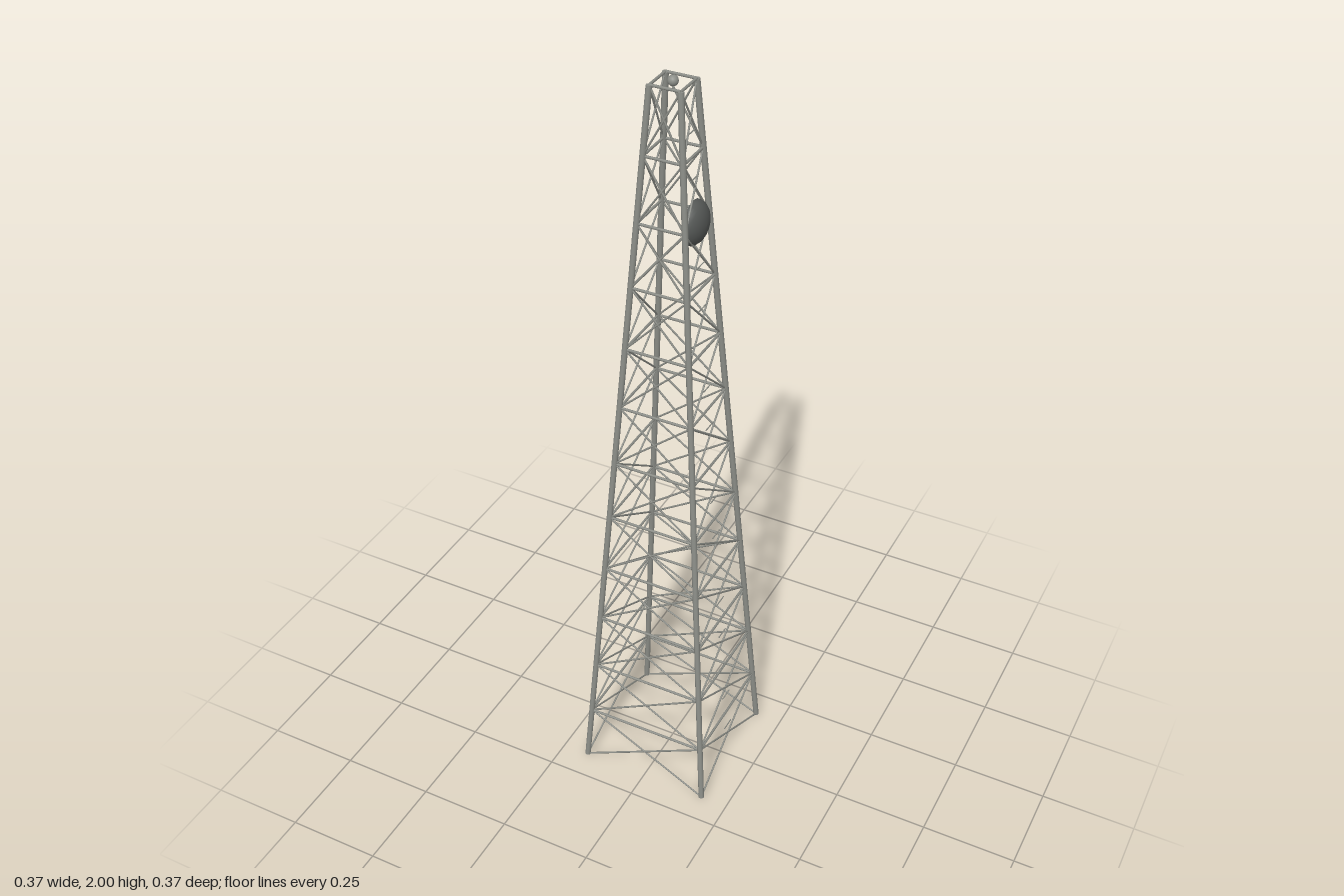
import * as THREE from 'three';

const LEVELS = 12;
const BASE_Y = 0.003, TOP_Y = 1.985;
const BASE_HALF = 0.176, TOP_HALF = 0.038;

// Half width of the tapering frame at a given height
const halfAt = (y) => THREE.MathUtils.mapLinear(y, BASE_Y, TOP_Y, BASE_HALF, TOP_HALF);

// Round bar between two points
function bar(name, a, b, radius, material, sides = 6) {
  const dir = b.clone().sub(a);
  const mesh = new THREE.Mesh(new THREE.CylinderGeometry(radius, radius, dir.length(), sides), material);
  mesh.position.copy(a).add(b).multiplyScalar(0.5);
  mesh.quaternion.setFromUnitVectors(new THREE.Vector3(0, 1, 0), dir.normalize());
  mesh.name = name;
  return mesh;
}

export function createModel() {
  const tower = new THREE.Group();
  tower.name = 'latticeTower';
  const steel = new THREE.MeshStandardMaterial({ color: 0x8c8e88, name: 'steelGrey' });
  const dark = new THREE.MeshStandardMaterial({ color: 0x555856, name: 'darkGrey', side: THREE.DoubleSide });

  // Four identical sides: one leg, level bars and crossed braces each
  for (let s = 0; s < 4; s++) {
    const side = new THREE.Group();
    side.name = 'towerSide' + s;
    side.rotation.y = s * Math.PI / 2;
    const corner = (sign, y) => new THREE.Vector3(sign * halfAt(y), y, halfAt(y));
    side.add(bar('leg', corner(1, BASE_Y), corner(1, TOP_Y), 0.0075, steel, 10));
    for (let i = 0; i < LEVELS; i++) {
      const y0 = THREE.MathUtils.lerp(BASE_Y, TOP_Y, i / LEVELS);
      const y1 = THREE.MathUtils.lerp(BASE_Y, TOP_Y, (i + 1) / LEVELS);
      side.add(bar('levelBar', corner(-1, y1), corner(1, y1), 0.0035, steel));
      side.add(bar('crossBrace', corner(-1, y0), corner(1, y1), 0.0025, steel));
      side.add(bar('crossBrace', corner(1, y0), corner(-1, y1), 0.0025, steel));
    }
    tower.add(side);
  }

  // Climbing rungs up the middle of the left side
  for (let i = 0; i < 17; i++) {
    const y = 0.117 + i * 0.11, x = halfAt(y);
    tower.add(bar('rung', new THREE.Vector3(x, y, -0.02), new THREE.Vector3(x, y, 0.02), 0.0015, steel));
  }

  // Shallow dish bulging outward from the left side
  const profile = [];
  for (let i = 0; i <= 8; i++) {
    const a = (i / 8) * Math.PI / 2;
    profile.push(new THREE.Vector2(0.055 * Math.cos(a), 0.035 * Math.sin(a)));
  }
  const dish = new THREE.Mesh(new THREE.LatheGeometry(profile, 16), dark);
  dish.name = 'dish';
  dish.rotation.z = -Math.PI / 2;
  dish.position.set(0.05, 1.656, 0);
  tower.add(dish);

  // Beacon at the top
  const beacon = new THREE.Mesh(new THREE.SphereGeometry(0.0125, 16, 10), steel);
  beacon.name = 'beacon';
  beacon.position.y = 1.9875;
  tower.add(beacon);

  return tower;
}
